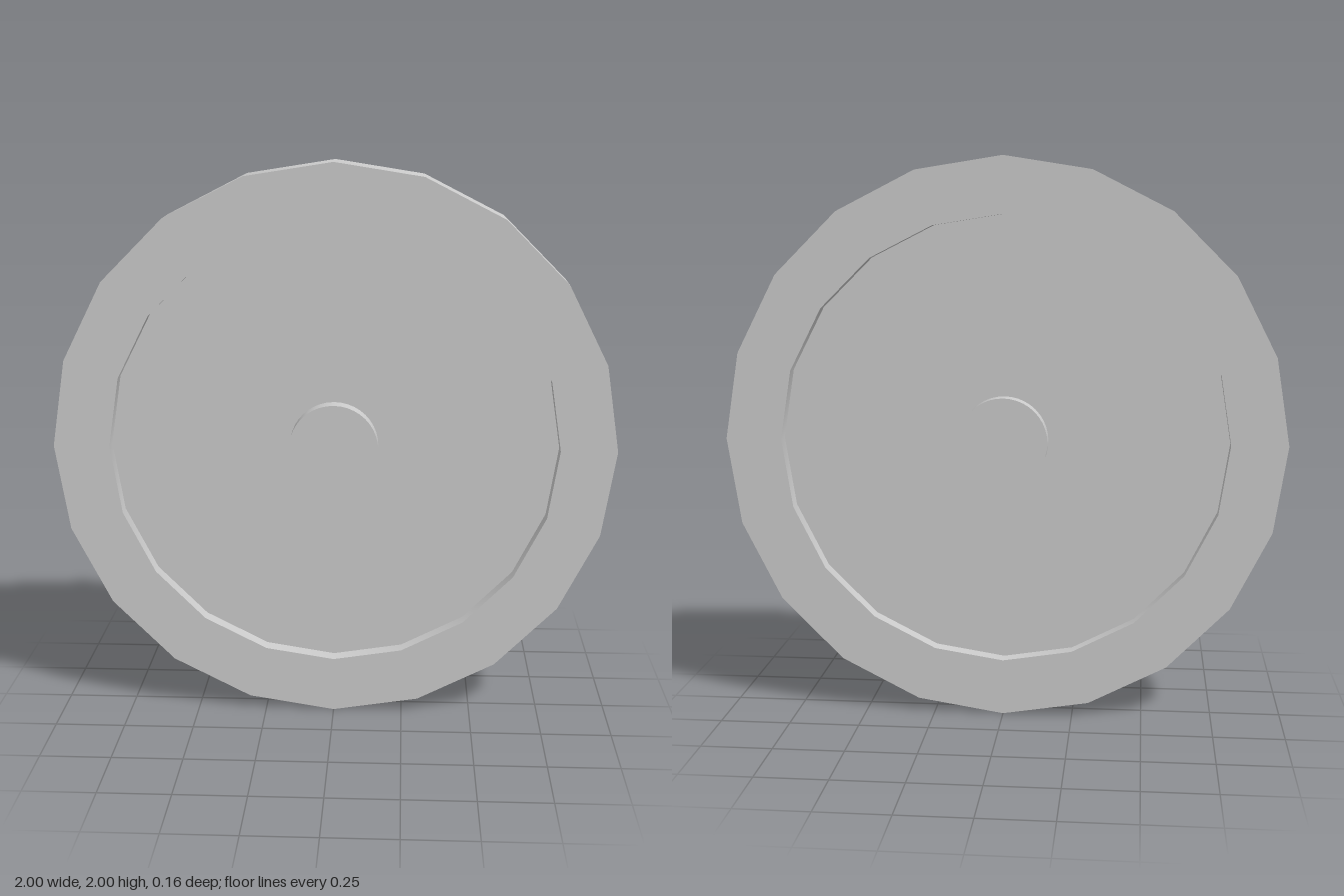
import * as THREE from 'three';
import { toCreasedNormals } from 'three/addons/utils/BufferGeometryUtils.js';

const SIDES = 20;
const RIM_HALF = 0.078;
const WEB_HALF = 0.022;
const HUB_HALF = 0.082;

export function createModel() {
  const model = new THREE.Group();
  model.name = 'wheel';
  const material = new THREE.MeshStandardMaterial({ color: 0xcccccc });

  // Every part is turned about y, then stood upright to face +z
  const addPart = (name, geometry) => {
    const mesh = new THREE.Mesh(geometry.rotateX(Math.PI / 2), material);
    mesh.name = name;
    mesh.position.y = 1;
    model.add(mesh);
  };

  // Rim: rectangular section, smooth around its circumference, sharp at its corners
  const section = [
    [0.8, -RIM_HALF], [1, -RIM_HALF], [1, RIM_HALF], [0.8, RIM_HALF], [0.8, -RIM_HALF],
  ].map(([r, y]) => new THREE.Vector2(r, y));
  addPart('rim', toCreasedNormals(new THREE.LatheGeometry(section, SIDES), Math.PI / 6));

  // Thin web recessed on both faces
  addPart('web', new THREE.CylinderGeometry(0.8, 0.8, WEB_HALF * 2, SIDES));

  // Round hub, slightly proud of the rim on both faces
  addPart('hub', new THREE.CylinderGeometry(0.158, 0.158, HUB_HALF * 2, 40));

  return model;
}
